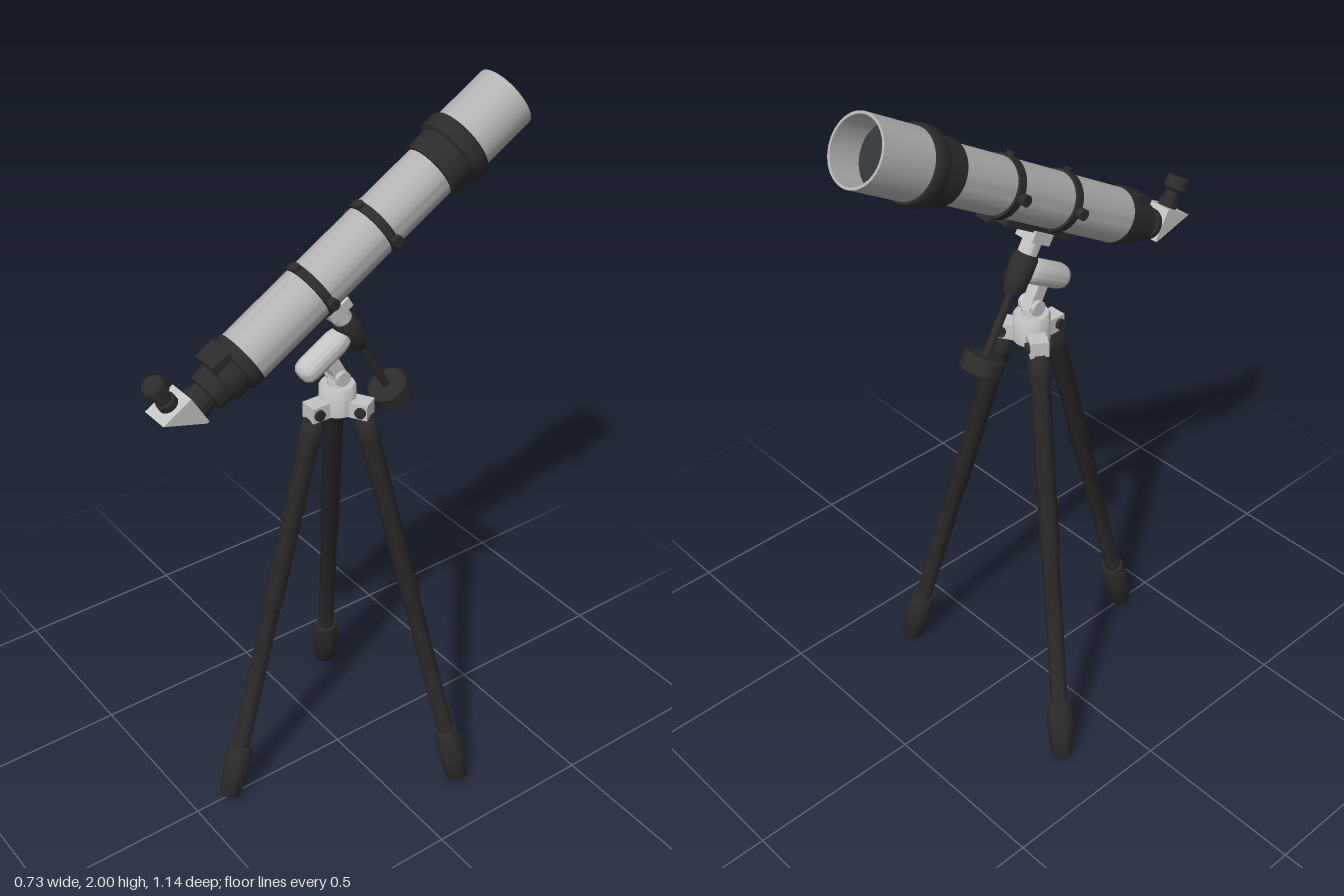
import * as THREE from 'three';
import { toCreasedNormals } from 'three/addons/utils/BufferGeometryUtils.js';

const mat = (name, color, extra = {}) => {
  const m = new THREE.MeshStandardMaterial({ color, ...extra });
  m.name = name;
  return m;
};

export function createModel() {
  const tubeGrey = mat('tube grey', 0xb2b2b2);
  const metal = mat('light metal', 0xc4c4c4);
  const black = mat('black', 0x2b2b2b);
  const glass = mat('dark glass', 0x34373a);

  const model = new THREE.Group();
  model.name = 'telescope';

  const add = (parent, name, geo, material, x = 0, y = 0, z = 0) => {
    const m = new THREE.Mesh(geo, material);
    m.name = name;
    m.position.set(x, y, z);
    parent.add(m);
    return m;
  };
  // Turned solid from [radius, height] pairs, with sharp steps
  const turned = (pts, seg = 40) => toCreasedNormals(
    new THREE.LatheGeometry(pts.map(p => new THREE.Vector2(p[0], p[1])), seg), 0.6);
  const rod = (r, a, b, seg = 32) => turned([[0, a], [r, a], [r, b], [0, b]], seg);

  // Optical tube: local +y runs along the tube to the sky, local +z is its upper side
  const scope = new THREE.Group();
  scope.name = 'opticalTube';
  scope.position.y = 1.616;
  scope.rotation.x = THREE.MathUtils.degToRad(-59.5);
  model.add(scope);

  add(scope, 'mainTube', rod(0.074, -0.34, 0.4, 48), tubeGrey);
  add(scope, 'dewShield', turned([[0.07, 0.44], [0.088, 0.44], [0.088, 0.61], [0.081, 0.61], [0.081, 0.515]], 48), tubeGrey);
  add(scope, 'frontLens', turned([[0.081, 0.519], [0.045, 0.523], [0, 0.525]], 48), glass);
  add(scope, 'lensCell', turned([[0.07, 0.33], [0.082, 0.33], [0.084, 0.395], [0.094, 0.4], [0.097, 0.406],
    [0.097, 0.438], [0.093, 0.446], [0.08, 0.446]], 48), black);

  // Clamp rings with side knobs and a top bolt
  for (const s of [-0.095, 0.129]) {
    const ring = new THREE.Group();
    ring.name = 'tubeRing';
    ring.position.y = s;
    scope.add(ring);
    add(ring, 'band', turned([[0.07, -0.012], [0.081, -0.012], [0.081, 0.012], [0.07, 0.012]], 48), black);
    for (const side of [-1, 1]) {
      add(ring, 'knobStem', rod(0.009, 0, 0.03, 16), black, side * 0.07).rotation.z = -side * Math.PI / 2;
      add(ring, 'sideKnob', rod(0.015, 0, 0.016, 20), black, side * 0.089).rotation.z = -side * Math.PI / 2;
    }
    add(ring, 'topBolt', rod(0.011, 0, 0.013, 16), black, 0, 0, 0.077).rotation.x = Math.PI / 2;
    add(ring, 'foot', new THREE.BoxGeometry(0.045, 0.024, 0.02), black, 0, 0, -0.078);
  }

  // Focuser
  add(scope, 'focuser', turned([[0, -0.51], [0.043, -0.51], [0.043, -0.487], [0.038, -0.485], [0.038, -0.465],
    [0.053, -0.463], [0.055, -0.425], [0.065, -0.415], [0.067, -0.37], [0.076, -0.367], [0.076, -0.335], [0, -0.335]]), black);
  add(scope, 'focuserHousing', new THREE.BoxGeometry(0.08, 0.06, 0.05), black, 0, -0.39, 0.05);

  // Prism diagonal: right triangle in the y-z plane, extruded across x
  const tri = new THREE.Shape([[-0.505, 0.058], [-0.6, 0.058], [-0.512, -0.036], [-0.505, -0.036]]
    .map(p => new THREE.Vector2(p[0], p[1])));
  const prism = new THREE.ExtrudeGeometry(tri, { depth: 0.086, bevelEnabled: false });
  prism.translate(0, 0, -0.043);
  // Cyclic axis swap: shape x -> y, shape y -> z, depth -> x
  prism.applyMatrix4(new THREE.Matrix4().set(0, 0, 1, 0, 1, 0, 0, 0, 0, 1, 0, 0, 0, 0, 0, 1));
  add(scope, 'diagonalPrism', prism, metal);
  add(scope, 'eyepiece', turned([[0, 0], [0.026, 0], [0.026, 0.02], [0.02, 0.022], [0.02, 0.045], [0.031, 0.053],
    [0.031, 0.08], [0.027, 0.086], [0.02, 0.086], [0, 0.08]], 32), black, 0, -0.55, 0.058).rotation.x = Math.PI / 2;

  // Mounting plate and declination axis, hanging under the tube
  add(scope, 'dovetailPlate', new THREE.BoxGeometry(0.045, 0.27, 0.02), black, 0, -0.062, -0.078);
  const dec = new THREE.Group();
  dec.name = 'declinationAxis';
  dec.position.y = -0.069;
  dec.rotation.x = -Math.PI / 2;      // local +y points away from the tube
  scope.add(dec);
  add(dec, 'saddle', new THREE.BoxGeometry(0.062, 0.03, 0.07), metal, 0, 0.098, 0);
  add(dec, 'saddleNeck', rod(0.026, 0.1, 0.152), metal);
  add(dec, 'declinationHousing', turned([[0, 0.148], [0.029, 0.148], [0.034, 0.16], [0.034, 0.215], [0.024, 0.25],
    [0.018, 0.262], [0, 0.262]]), black);
  add(dec, 'counterweightRod', rod(0.011, 0.25, 0.495, 20), black);
  add(dec, 'counterweight', turned([[0, 0.433], [0.051, 0.433], [0.056, 0.438], [0.056, 0.478], [0.051, 0.483], [0, 0.483]]), black);

  // Polar axis housing with rounded ends, parallel to the tube
  add(scope, 'polarAxis', turned([[0, -0.25], [0.02, -0.246], [0.031, -0.235], [0.035, -0.218], [0.035, -0.12],
    [0.031, -0.1], [0.024, -0.085], [0, -0.08]]), metal, 0, 0, -0.19);

  // Latitude bracket joining the polar axis to the tripod head
  add(model, 'latitudeBracket', new THREE.BoxGeometry(0.034, 0.09, 0.036), metal, 0, 1.32, 0.012).rotation.x = 0.5;
  const pivot = add(model, 'latitudePivot', rod(0.021, -0.03, 0.03, 24), metal, 0, 1.292, 0);
  pivot.rotation.z = Math.PI / 2;

  // Tripod head
  add(model, 'tripodHead', turned([[0, 1.19], [0.05, 1.19], [0.05, 1.262], [0.045, 1.27], [0.028, 1.27],
    [0.026, 1.285], [0, 1.285]]), metal);

  // Three legs: local +z points outward
  const top = new THREE.Vector3(0, 1.2, 0.072), foot = new THREE.Vector3(0, 0.009, 0.387);
  const length = top.distanceTo(foot);
  const lean = Math.atan2(foot.z - top.z, top.y - foot.y);
  for (let i = 0; i < 3; i++) {
    const leg = new THREE.Group();
    leg.name = 'tripodLeg';
    leg.rotation.y = i * Math.PI * 2 / 3;
    model.add(leg);
    add(leg, 'hingeLug', new THREE.BoxGeometry(0.05, 0.045, 0.07), metal, 0, 1.21, 0.06);
    add(leg, 'hingeBolt', rod(0.015, -0.034, 0.034, 20), black, 0, 1.21, 0.077).rotation.z = Math.PI / 2;
    const shaft = new THREE.Group();
    shaft.name = 'legShaft';
    shaft.position.copy(foot);
    shaft.rotation.x = -lean;         // local +y runs from foot to hinge
    leg.add(shaft);
    add(shaft, 'legTube', turned([[0, 0.15], [0.024, 0.15], [0.024, 0.64], [0.027, 0.645], [0.027, length - 0.09],
      [0.03, length - 0.085], [0.03, length - 0.03], [0.024, length - 0.012], [0, length - 0.012]], 28), black);
    add(shaft, 'rubberFoot', turned([[0, 0], [0.027, 0], [0.03, 0.006], [0.038, 0.1], [0.036, 0.155],
      [0.031, 0.175], [0, 0.175]], 28), black);
  }
  return model;
}
